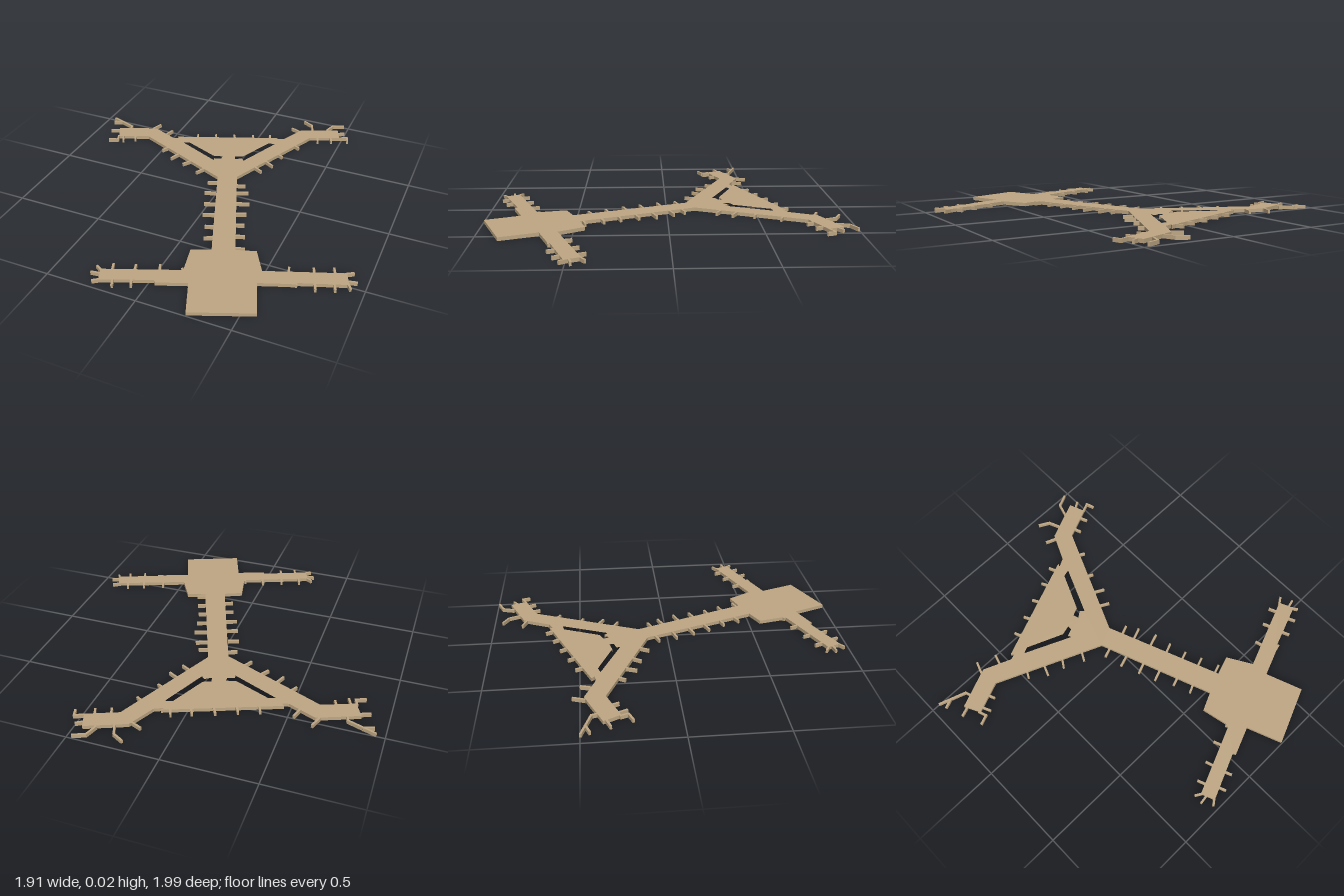
import * as THREE from 'three';

const HEIGHT = 0.02;
const BRIDGE_WIDTH = 0.012;

// Plan points are [x, z]; extruding upwards needs y = -z
const toPlan = (pts) => pts.map(([x, z]) => new THREE.Vector2(x, -z));

function slab(points, holes = []) {
  const shape = new THREE.Shape(toPlan(points));
  for (const h of holes) shape.holes.push(new THREE.Path(toPlan(h)));
  const geo = new THREE.ExtrudeGeometry(shape, { depth: HEIGHT, bevelEnabled: false });
  return geo.rotateX(-Math.PI / 2);
}

export function createModel() {
  const model = new THREE.Group();
  model.name = 'terminal';
  const tan = new THREE.MeshStandardMaterial({ color: 0xbfa783 });
  tan.name = 'tan';

  // Main building: two upper piers, neck, hall and two lower piers
  const outline = [
    [-0.86, -0.39], [-0.64, -0.48], [-0.485, -0.415], [-0.45, -0.425], [-0.465, -0.44],
    [0.125, -0.675], [0.115, -0.655], [0.165, -0.68], [0.235, -0.83], [0.45, -0.92],
    [0.485, -0.83], [0.315, -0.76], [0.055, -0.16], [0.305, 0.475], [0.41, 0.44],
    [0.49, 0.575], [0.885, 0.425], [0.92, 0.505], [0.645, 0.605], [0.645, 0.615],
    [0.5, 0.67], [0.575, 0.87], [0.265, 0.995], [0.19, 0.805], [0.035, 0.865],
    [0.025, 0.85], [-0.23, 0.955], [-0.26, 0.88], [0.125, 0.725], [0.09, 0.565],
    [0.19, 0.52], [-0.05, -0.115], [-0.64, -0.37], [-0.815, -0.3],
  ];
  const leftSlot = [
    [-0.405, -0.39], [-0.37, -0.405], [-0.165, -0.32], [-0.11, -0.335],
    [-0.11, -0.31], [-0.15, -0.295], [-0.145, -0.275],
  ];
  const rightSlot = [
    [0.095, -0.59], [0.135, -0.6], [0.025, -0.34], [0.005, -0.36],
    [-0.03, -0.335], [-0.04, -0.365], [0.005, -0.385],
  ];
  const building = new THREE.Mesh(slab(outline, [leftSlot, rightSlot]), tan);
  building.name = 'building';
  model.add(building);

  // Boarding bridges: each path runs outwards from the building wall
  const bridgeGroups = {
    leftPierBridges: [
      [[-0.79, -0.41], [-0.8, -0.445], [-0.95, -0.497]], [[-0.885, -0.475], [-0.935, -0.455]],
      [[-0.66, -0.475], [-0.638, -0.535]], [[-0.55, -0.44], [-0.533, -0.495]],
      [[-0.845, -0.375], [-0.9, -0.355]], [[-0.82, -0.305], [-0.805, -0.265], [-0.855, -0.245]],
      [[-0.79, -0.315], [-0.77, -0.27]], [[-0.72, -0.345], [-0.705, -0.31]],
      [[-0.46, -0.31], [-0.485, -0.265]], [[-0.375, -0.25], [-0.395, -0.2]],
      [[-0.27, -0.215], [-0.3, -0.17]], [[-0.16, -0.17], [-0.187, -0.12]],
    ],
    apronBridges: [
      [[-0.345, -0.485], [-0.36, -0.52]], [[-0.235, -0.525], [-0.253, -0.56]],
      [[-0.125, -0.57], [-0.145, -0.605]], [[-0.015, -0.612], [-0.033, -0.647]],
      [[0.085, -0.65], [0.067, -0.69]],
    ],
    rightPierBridges: [
      [[0.23, -0.81], [0.173, -0.833]], [[0.3, -0.86], [0.275, -0.92], [0.22, -0.95]],
      [[0.385, -0.9], [0.405, -0.965], [0.468, -0.992]], [[0.455, -0.88], [0.495, -0.905]],
      [[0.485, -0.835], [0.53, -0.855], [0.543, -0.815]], [[0.435, -0.81], [0.45, -0.775]],
      [[0.355, -0.785], [0.37, -0.745]], [[0.25, -0.635], [0.283, -0.617]],
      [[0.19, -0.495], [0.222, -0.48]], [[0.15, -0.39], [0.202, -0.362]],
      [[0.11, -0.305], [0.16, -0.278]],
    ],
    neckBridges: [
      [[-0.035, -0.067], [-0.08, -0.05]], [[0, 0.035], [-0.055, 0.053]],
      [[0.04, 0.135], [-0.013, 0.155]], [[0.077, 0.23], [0.022, 0.25]],
      [[0.12, 0.33], [0.077, 0.345]], [[0.155, 0.42], [0.112, 0.44]],
      [[0.08, -0.08], [0.13, -0.1]], [[0.115, -0.015], [0.172, -0.037]],
      [[0.155, 0.082], [0.217, 0.06]], [[0.185, 0.178], [0.237, 0.157]],
      [[0.215, 0.272], [0.263, 0.255]], [[0.255, 0.362], [0.303, 0.345]],
      [[0.29, 0.46], [0.342, 0.443]],
    ],
    hallPierBridges: [
      [[0.615, 0.53], [0.605, 0.495]], [[0.735, 0.485], [0.72, 0.45]],
      [[0.83, 0.445], [0.815, 0.41]], [[0.88, 0.43], [0.915, 0.407]],
      [[0.905, 0.48], [0.948, 0.47]], [[0.91, 0.495], [0.93, 0.525]],
      [[0.64, 0.61], [0.68, 0.6]], [[0.76, 0.56], [0.775, 0.597]],
      [[0.85, 0.53], [0.865, 0.562]], [[-0.205, 0.86], [-0.22, 0.82]],
      [[-0.1, 0.82], [-0.113, 0.78]], [[0.015, 0.77], [0, 0.733]],
      [[0.125, 0.73], [0.115, 0.715]], [[-0.255, 0.885], [-0.288, 0.865]],
      [[-0.245, 0.908], [-0.293, 0.915]], [[-0.23, 0.95], [-0.257, 0.97]],
      [[-0.165, 0.925], [-0.152, 0.96]], [[-0.08, 0.89], [-0.066, 0.923]],
    ],
  };

  for (const [name, paths] of Object.entries(bridgeGroups)) {
    const group = new THREE.Group();
    group.name = name;
    for (const path of paths) {
      for (let i = 0; i + 1 < path.length; i++) {
        const [x0, z0] = path[i];
        const [x1, z1] = path[i + 1];
        const length = Math.hypot(x1 - x0, z1 - z0) + 0.008;
        const bridge = new THREE.Mesh(new THREE.BoxGeometry(length, HEIGHT, BRIDGE_WIDTH), tan);
        bridge.position.set((x0 + x1) / 2, HEIGHT / 2, (z0 + z1) / 2);
        bridge.rotation.y = -Math.atan2(z1 - z0, x1 - x0);
        bridge.name = 'boardingBridge';
        group.add(bridge);
      }
    }
    model.add(group);
  }
  return model;
}
